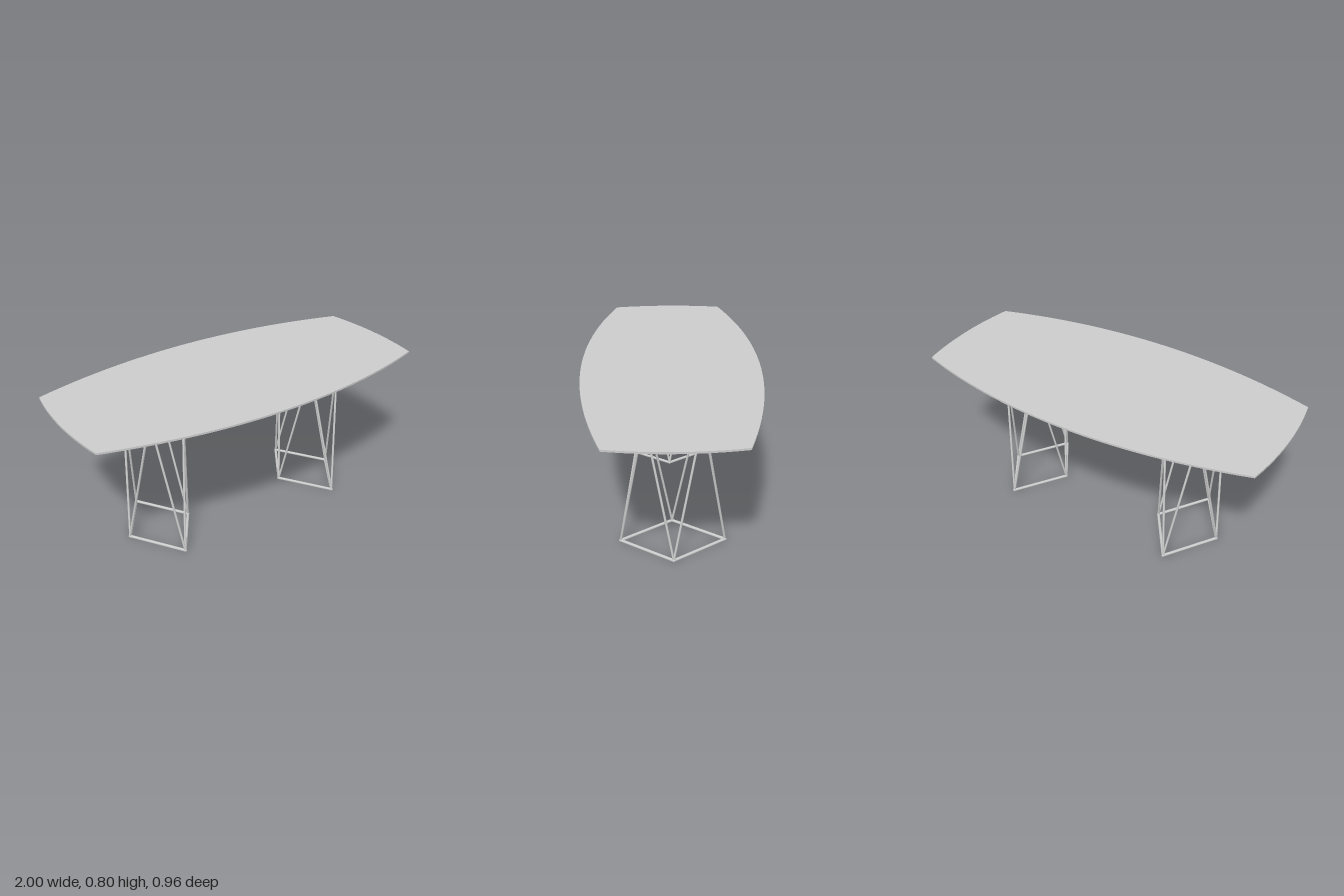
import * as THREE from 'three';
import { toCreasedNormals } from 'three/addons/utils/BufferGeometryUtils.js';

const material = new THREE.MeshStandardMaterial({ color: 0xcccccc });

function addMesh(parent, geometry, name) {
  const mesh = new THREE.Mesh(geometry, material);
  mesh.name = name;
  parent.add(mesh);
  return mesh;
}

// Boat-shaped outline: four shallow arcs meeting at corners (cx, cz)
function outline() {
  const cx = 0.97, cz = 0.325, bulgeX = 0.03, bulgeZ = 0.153;
  const points = [];
  // Height of a circular arc above its chord, t from -1 to 1
  const arc = (t, half, sag) => {
    const r = (half * half + sag * sag) / (2 * sag);
    return Math.sqrt(r * r - t * t * half * half) - (r - sag);
  };
  for (const s of [1, -1]) {
    for (let i = 0; i < 12; i++) {
      const t = -1 + i / 6;
      points.push([s * (cx + arc(t, cz, bulgeX)), s * t * cz]);
    }
    for (let i = 0; i < 28; i++) {
      const t = 1 - i / 14;
      points.push([s * t * cx, s * (cz + arc(t, cx, bulgeZ))]);
    }
  }
  return points;
}

// Top slab lofted through rings: flat top, thin edge, bevelled underside
function tabletopGeometry() {
  const rings = [[0.8, 0, 0], [0.8, 1, 1], [0.79, 1, 1], [0.768, 0.948, 0.85], [0.768, 0, 0]];
  const points = outline();
  const positions = [];
  const at = (ring, i) => {
    const [y, sx, sz] = rings[ring];
    const [x, z] = points[i % points.length];
    return [x * sx, y, z * sz];
  };
  for (let r = 0; r < rings.length - 1; r++) {
    for (let i = 0; i < points.length; i++) {
      const a = at(r, i), b = at(r, i + 1), c = at(r + 1, i), d = at(r + 1, i + 1);
      if (r > 0) positions.push(...a, ...b, ...c);
      if (r < rings.length - 2) positions.push(...b, ...d, ...c);
    }
  }
  const geometry = new THREE.BufferGeometry();
  geometry.setAttribute('position', new THREE.Float32BufferAttribute(positions, 3));
  return toCreasedNormals(geometry, 0.15);
}

// Round rod between two points
function addRod(parent, a, b, radius, name) {
  const dir = b.clone().sub(a);
  const rod = addMesh(parent, new THREE.CylinderGeometry(radius, radius, dir.length(), 12), name);
  rod.position.copy(a).add(b).multiplyScalar(0.5);
  rod.quaternion.setFromUnitVectors(new THREE.Vector3(0, 1, 0), dir.normalize());
}

// Wire pedestal: diamond base, rectangular top frame, zigzag rods between
function createPedestal() {
  const group = new THREE.Group();
  const radius = 0.007;
  const base = [[0.183, 0], [0, 0.273], [-0.183, 0], [0, -0.273]]
    .map(([x, z]) => new THREE.Vector3(x, 0.009, z));
  const top = [[1, 1], [-1, 1], [-1, -1], [1, -1]]
    .map(([x, z]) => new THREE.Vector3(x * 0.095, 0.764, z * 0.14));
  for (let i = 0; i < 4; i++) {
    const next = base[(i + 1) % 4];
    addRod(group, base[i], next, 0.008, 'baseRod');
    addRod(group, base[i], top[i], radius - 0.001, 'legRod');
    addRod(group, next, top[i], radius - 0.001, 'legRod');
    addMesh(group, new THREE.SphereGeometry(0.009, 12, 8), 'baseJoint').position.copy(base[i]);
  }

  // Flat mounting frame under the top
  const rect = (path, x, z) => path.moveTo(-x, -z).lineTo(x, -z).lineTo(x, z).lineTo(-x, z).closePath();
  const shape = new THREE.Shape();
  const hole = new THREE.Path();
  for (const [path, x, z] of [[shape, 0.108, 0.154], [hole, 0.084, 0.13]]) {
    path.moveTo(-x, -z);
    path.lineTo(x, -z);
    path.lineTo(x, z);
    path.lineTo(-x, z);
    path.closePath();
  }
  shape.holes.push(hole);
  const frame = addMesh(group, new THREE.ExtrudeGeometry(shape, { depth: 0.008, bevelEnabled: false }), 'mountingFrame');
  frame.rotation.x = -Math.PI / 2;
  frame.position.y = 0.76;
  return group;
}

export function createModel() {
  const table = new THREE.Group();
  table.name = 'table';
  addMesh(table, tabletopGeometry(), 'tabletop');
  for (const side of [1, -1]) {
    const pedestal = createPedestal();
    pedestal.name = side > 0 ? 'leftPedestal' : 'rightPedestal';
    pedestal.position.x = side * 0.505;
    table.add(pedestal);
  }
  return table;
}
